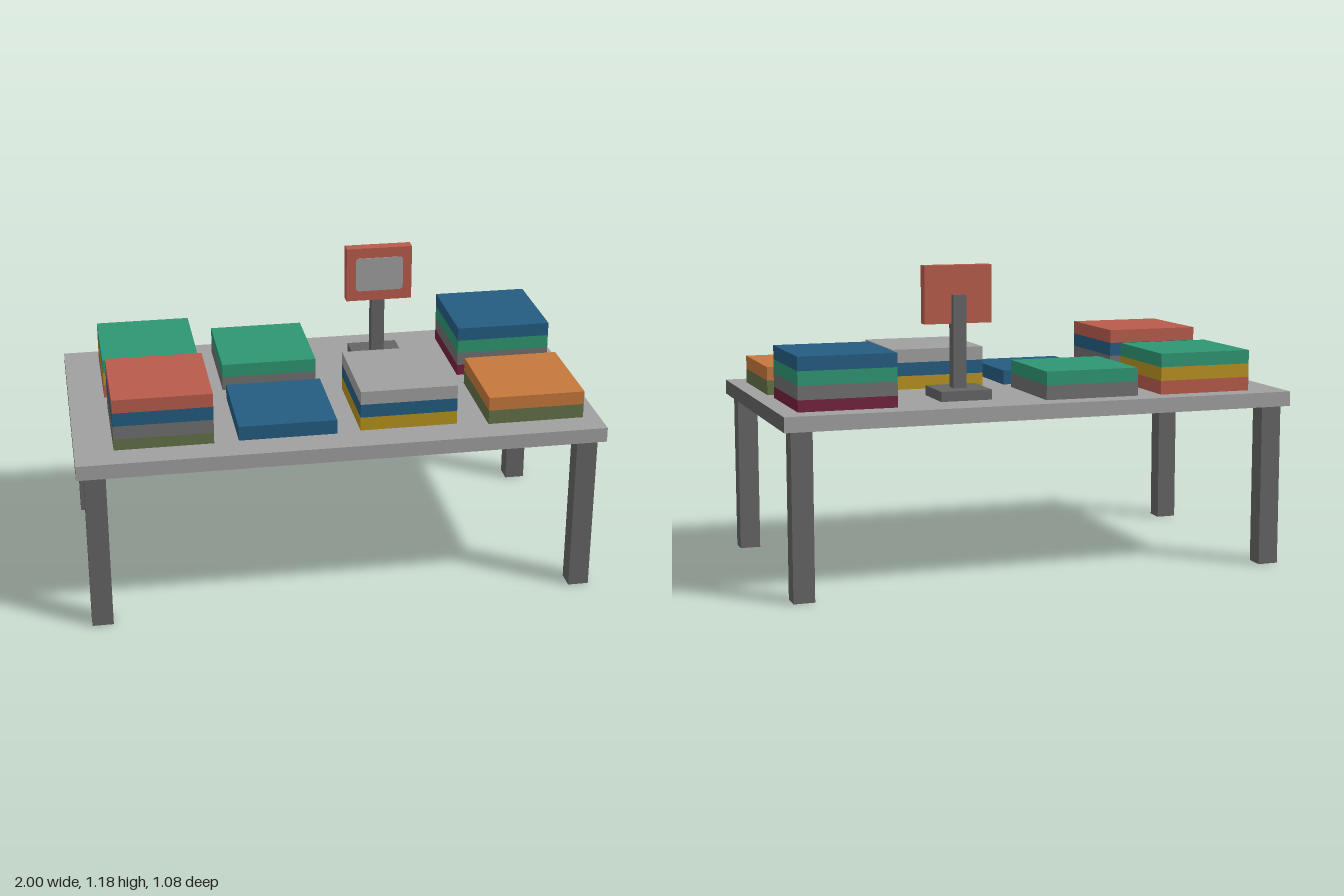
import * as THREE from 'three';

const mat = (name, color) => Object.assign(new THREE.MeshStandardMaterial({ color }), { name });

export function createModel() {
  const lightGrey = mat('lightGrey', 0xa0a0a0);
  const darkGrey = mat('darkGrey', 0x656565);
  const slate = mat('slate', 0x707070);
  const red = mat('red', 0xb85c4b);
  const blue = mat('blue', 0x245d82);
  const green = mat('green', 0x2e9672);
  const yellow = mat('yellow', 0xb8931f);
  const orange = mat('orange', 0xc5783c);
  const olive = mat('olive', 0x627247);
  const burgundy = mat('burgundy', 0x74203d);

  const model = new THREE.Group();
  model.name = 'displayTable';

  // Box given by its extents on each axis
  const box = (parent, name, material, [x0, x1], [y0, y1], [z0, z1]) => {
    const mesh = new THREE.Mesh(new THREE.BoxGeometry(x1 - x0, y1 - y0, z1 - z0), material);
    mesh.position.set((x0 + x1) / 2, (y0 + y1) / 2, (z0 + z1) / 2);
    mesh.name = name;
    parent.add(mesh);
    return mesh;
  };

  // Table top: pale top, front and back; dark ends and underside
  const tableY = 0.684;
  box(model, 'tableTop', [darkGrey, darkGrey, lightGrey, darkGrey, lightGrey, lightGrey],
    [-1, 1], [0.627, tableY], [-0.54, 0.54]);

  // Four square legs
  for (const sx of [-1, 1]) for (const sz of [-1, 1]) {
    const leg = box(model, 'leg', darkGrey, [-0.04, 0.04], [0, 0.627], [-0.0375, 0.0375]);
    leg.position.x = sx * 0.932;
    leg.position.z = sz * 0.478;
  }

  // Folded cloth stacks, colours listed from the bottom up
  const layer = 0.0525;
  const stacks = [
    { x: -0.668, z: 0.227, top: 0.885, layers: [olive, slate, blue, red] },
    { x: -0.203, z: 0.22, top: 0.74, layers: [blue] },
    { x: 0.26, z: 0.208, top: 0.842, layers: [yellow, blue, lightGrey] },
    { x: 0.75, z: 0.232, top: 0.792, layers: [olive, orange] },
    { x: -0.675, z: -0.258, top: 0.842, layers: [red, yellow, green] },
    { x: -0.208, z: -0.253, top: 0.792, layers: [slate, green] },
    { x: 0.742, z: -0.247, top: 0.885, layers: [burgundy, slate, green, blue] },
  ];
  for (const { x, z, top, layers } of stacks) {
    const stack = new THREE.Group();
    stack.name = 'clothStack';
    model.add(stack);
    layers.forEach((material, i) => {
      const y1 = top - (layers.length - 1 - i) * layer;
      const y0 = i === 0 ? tableY : y1 - layer;
      box(stack, 'foldedCloth', material, [x - 0.186, x + 0.186], [y0, y1], [z - 0.198, z + 0.198]);
    });
  }

  // Sign stand: foot, post and panel
  const sign = new THREE.Group();
  sign.name = 'signStand';
  model.add(sign);
  box(sign, 'signFoot', darkGrey, [0.165, 0.365], [tableY, 0.722], [-0.365, -0.165]);
  box(sign, 'signPost', darkGrey, [0.239, 0.291], [0.722, 1.075], [-0.286, -0.235]);
  box(sign, 'signPanel', red, [0.132, 0.397], [0.965, 1.185], [-0.265, -0.217]);

  // Blank rounded plate on the front of the panel
  const w = 0.096, h = 0.069, r = 0.015;
  const outline = new THREE.Shape();
  outline.absarc(w - r, h - r, r, 0, Math.PI / 2);
  outline.absarc(-w + r, h - r, r, Math.PI / 2, Math.PI);
  outline.absarc(-w + r, -h + r, r, Math.PI, Math.PI * 1.5);
  outline.absarc(w - r, -h + r, r, Math.PI * 1.5, Math.PI * 2);
  const plate = new THREE.Mesh(
    new THREE.ExtrudeGeometry(outline, { depth: 0.003, bevelEnabled: false, curveSegments: 4 }), lightGrey);
  plate.name = 'signPlate';
  plate.position.set(0.265, 1.075, -0.217);
  sign.add(plate);

  return model;
}
